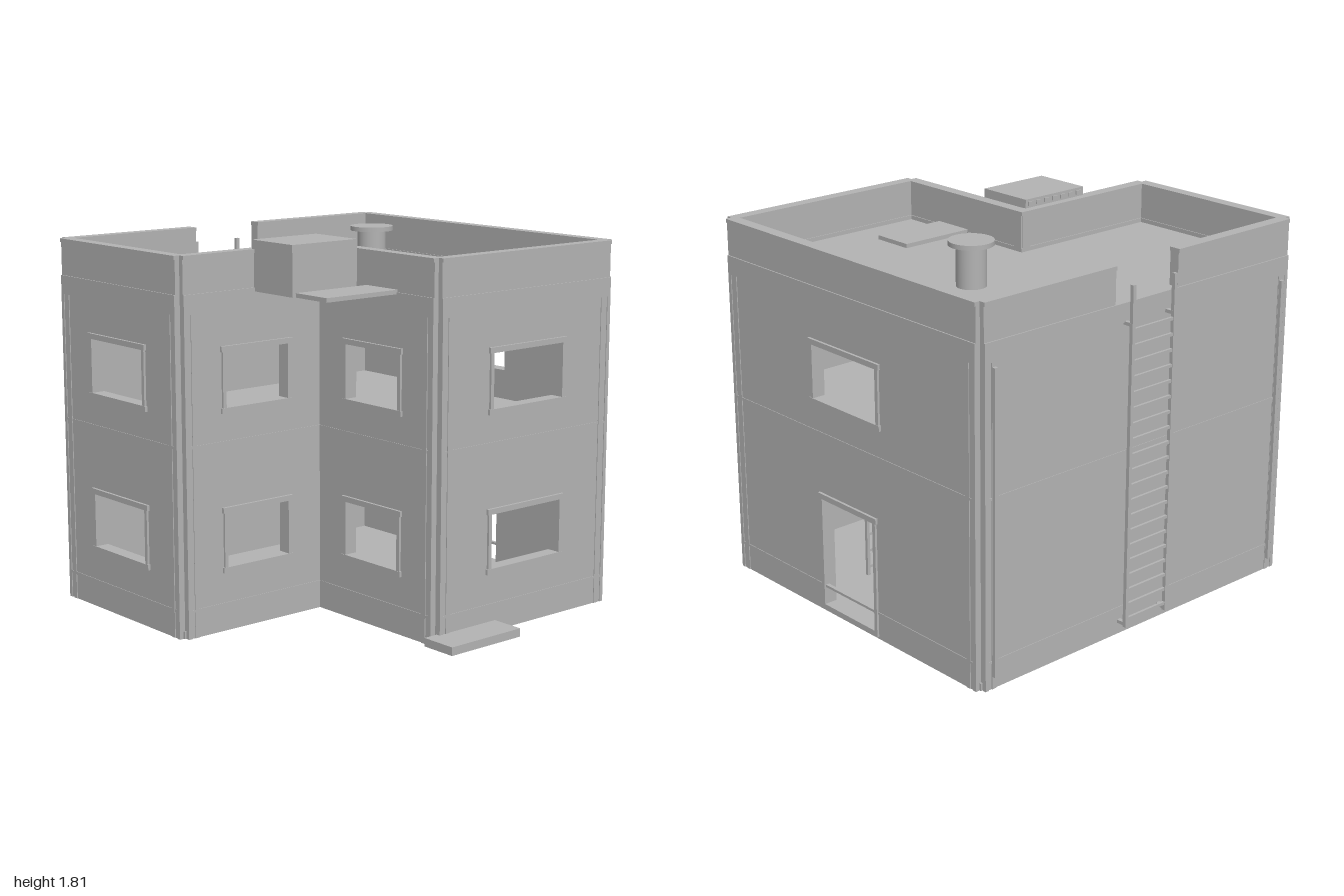
import * as THREE from 'three';

const concrete = new THREE.MeshStandardMaterial({ color: 0xb3b3b3 });
concrete.name = 'concrete grey';

// turn of each facade and the sign that maps a world span to its local x
const SIDES = {
  front: [0, 1], right: [Math.PI / 2, -1], back: [Math.PI, -1], left: [-Math.PI / 2, 1],
};

// side, outward face distance, world span, openings [a, b, y0, y1]
const upper = (a, b) => [a, b, 1.03, 1.34];
const lower = (a, b) => [a, b, 0.28, 0.59];
const WALLS = [
  { name: 'backWall', side: 'back', d: 0.95, span: [-0.95, 0.95], frames: [], gap: [-0.2, 0.19] },
  { name: 'eastWall', side: 'right', d: 0.98, span: [-0.92, 0.81], frames: [upper(-0.3, 0.2), [-0.26, 0.16, 0.012, 0.6]] },
  { name: 'westWall', side: 'left', d: 0.98, span: [-0.92, 0.0], frames: [upper(-0.69, -0.23), lower(-0.69, -0.23)] },
  { name: 'rearWingFrontWall', side: 'front', d: 0.03, span: [-0.95, -0.11], frames: [upper(-0.75, -0.34), lower(-0.75, -0.34)], inner: 1 },
  { name: 'frontWingWestWall', side: 'left', d: 0.17, span: [-0.03, 0.81], frames: [upper(0.2, 0.61), lower(0.2, 0.61)], inner: 0 },
  { name: 'frontWall', side: 'front', d: 0.84, span: [-0.14, 0.95], frames: [upper(0.15, 0.65), lower(0.15, 0.65)] },
];

function add(parent, name, geometry, x = 0, y = 0, z = 0) {
  const mesh = new THREE.Mesh(geometry, concrete);
  mesh.name = name;
  mesh.position.set(x, y, z);
  parent.add(mesh);
  return mesh;
}

// box given by its limits
function block(parent, name, x0, x1, y0, y1, z0, z1) {
  return add(parent, name, new THREE.BoxGeometry(x1 - x0, y1 - y0, z1 - z0),
    (x0 + x1) / 2, (y0 + y1) / 2, (z0 + z1) / 2);
}

function rect(path, x0, x1, y0, y1) {
  path.moveTo(x0, y0);
  path.lineTo(x1, y0);
  path.lineTo(x1, y1);
  path.lineTo(x0, y1);
  path.closePath();
  return path;
}

function pierced(x0, x1, y0, y1, holes, depth) {
  const shape = rect(new THREE.Shape(), x0, x1, y0, y1);
  for (const h of holes) shape.holes.push(rect(new THREE.Path(), ...h));
  return new THREE.ExtrudeGeometry(shape, { depth, bevelEnabled: false });
}

function buildWall({ name, side, d, span, frames, gap, inner }) {
  const [turn, sign] = SIDES[side];
  const local = (a, b) => (sign > 0 ? [a, b] : [-b, -a]);
  const wall = new THREE.Group();
  wall.name = name;
  wall.rotation.y = turn;
  const [u0, u1] = local(...span);
  const rim = 0.026;
  const openings = frames.map(([a, b, y0, y1]) => {
    const [p, q] = local(a, b);
    return [p + rim, q - rim, y0 + rim, y1 - rim];
  });

  // wall sheet with openings, and the band above it
  add(wall, 'wallSheet', pierced(u0, u1, 0, 1.5, openings, 0.056), 0, 0, d - 0.06);
  block(wall, 'upperBand', u0, u1, 1.5, 1.59, d - 0.06, d);

  // parapet and its coping, broken where the ladder arrives
  const runs = gap ? [local(span[0], gap[0]), local(gap[1], span[1])] : [[u0, u1]];
  for (const [a, b] of runs) {
    block(wall, 'parapet', a, b, 1.59, 1.747, d - 0.055, d - 0.006);
    block(wall, 'coping', a, b, 1.747, 1.765, d - 0.06, d - 0.001);
  }

  // thin belts at plinth and storey height
  for (const y of [0.13, 0.895]) block(wall, 'belt', u0, u1, y - 0.006, y + 0.006, d - 0.02, d - 0.001);

  // upright strips beside the outer corners
  for (const end of [0, 1]) {
    if (inner !== undefined && end === inner) continue;
    const dir = end ? -1 : 1;
    const u = (end ? u1 : u0) + dir * 0.05;
    block(wall, 'cornerStrip', u - 0.012, u + 0.012, 0, 1.5, d - 0.02, d);
    if (side === 'back') block(wall, 'downpipe', u - 0.01, u + 0.01, 0.06, 1.48, d - 0.01, d + 0.016);
    const c = (end ? u1 : u0) + dir * 0.01;
    block(wall, 'cornerTrim', c - 0.01, c + 0.01, 0, 1.5, d - 0.02, d);
  }

  // window and door frames with wider heads and sills
  frames.forEach(([a, b, y0, y1], i) => {
    const [p, q] = local(a, b);
    add(wall, 'openingFrame', pierced(p + 0.007, q - 0.007, y0, y1, [openings[i]], 0.035), 0, 0, d - 0.028);
    block(wall, 'frameHead', p, q, y1 - rim, y1, d - 0.02, d + 0.009);
    if (y0 > 0.1) block(wall, 'frameSill', p, q, y0, y0 + rim, d - 0.02, d + 0.009);
  });
  return wall;
}

// L-shaped slab covering the inside of the walls
function slab(parent, name, y, thickness, grow) {
  const g = grow;
  const shape = new THREE.Shape([
    [-0.92 - g, 0.89 + g], [-0.92 - g, 0.03 - g], [-0.11 - g, 0.03 - g],
    [-0.11 - g, -0.78 - g], [0.92 + g, -0.78 - g], [0.92 + g, 0.89 + g],
  ].map(([x, v]) => new THREE.Vector2(x, v)));
  const geometry = new THREE.ExtrudeGeometry(shape, { depth: thickness, bevelEnabled: false });
  add(parent, name, geometry.rotateX(-Math.PI / 2), 0, y, 0);
}

function ladder(name, x0, x1, y0, y1, z, bar, step, topRung) {
  const group = new THREE.Group();
  group.name = name;
  for (const x of [x0, x1]) block(group, 'ladderRail', x - bar, x + bar, y0, y1, z - bar, z + bar);
  for (let y = y0 + step / 2; y < topRung; y += step) {
    block(group, 'ladderRung', x0, x1, y - bar * 0.8, y + bar * 0.8, z - bar * 0.7, z + bar * 0.7);
  }
  return group;
}

export function createModel() {
  const model = new THREE.Group();
  model.name = 'building';
  for (const spec of WALLS) model.add(buildWall(spec));

  // floors and roof
  slab(model, 'groundFloor', 0.001, 0.036, 0.04);
  slab(model, 'upperFloor', 0.88, 0.03, 0.02);
  slab(model, 'roofDeck', 1.54, 0.03, 0.02);

  // round roof vent
  add(model, 'ventStem', new THREE.CylinderGeometry(0.07, 0.07, 0.2, 24), 0.415, 1.67, -0.265);
  add(model, 'ventCap', new THREE.CylinderGeometry(0.105, 0.105, 0.022, 32), 0.415, 1.772, -0.265);

  // outer ladder with wall brackets
  const outer = ladder('outerLadder', -0.13, 0.13, 0.05, 1.68, -0.99, 0.009, 0.073, 1.52);
  for (const x of [-0.13, 0.13]) {
    for (const y of [0.065, 1.5]) block(outer, 'ladderBracket', x - 0.01, x + 0.01, y - 0.008, y + 0.008, -0.99, -0.94);
  }
  model.add(outer);

  // ladder between the storeys
  model.add(ladder('innerLadder', 0.545, 0.635, 0.037, 0.88, 0.25, 0.008, 0.085, 0.87));

  // rooftop box in the corner of the two wings, with slots on its rear edge
  block(model, 'roofBox', -0.55, -0.172, 1.572, 1.807, 0.01, 0.3);
  for (let i = 0; i < 7; i++) {
    const x = -0.515 + i * 0.052;
    block(model, 'boxSlot', x - 0.015, x + 0.015, 1.775, 1.795, 0.004, 0.012);
  }

  // canopy board through the parapet and entrance step
  block(model, 'canopyBoard', -0.58, 0.27, 1.582, 1.602, 0.36, 0.57);
  block(model, 'entranceStep', -0.215, 0.215, 0.01, 0.05, 0.82, 1.0);
  return model;
}
